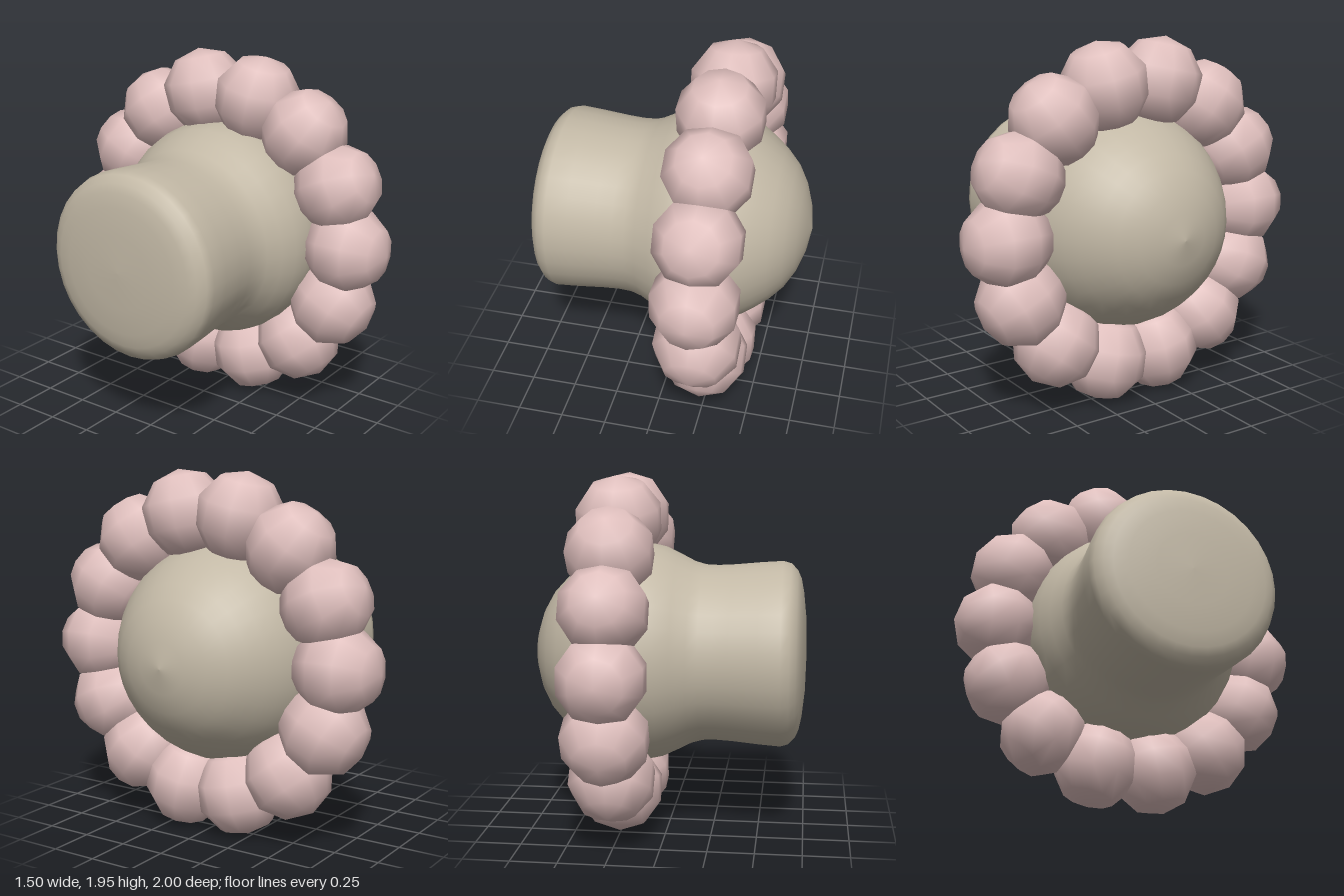
import * as THREE from 'three';

const CENTER_Y = 0.986;
const BEADS = 14;

export function createModel() {
  const model = new THREE.Group();
  model.name = 'beadedKnob';

  const stone = new THREE.MeshStandardMaterial({ color: 0xc2b8a5 });
  stone.name = 'warm beige';
  const pink = new THREE.MeshStandardMaterial({ color: 0xdfbfbd });
  pink.name = 'soft pink';

  // Turned body: [position along x, radius], from the stem end to the dome
  const profile = [
    [-0.75, 0], [-0.745, 0.2], [-0.73, 0.34], [-0.715, 0.415], [-0.695, 0.46],
    [-0.66, 0.497], [-0.615, 0.51], [-0.5, 0.502], [-0.35, 0.488], [-0.26, 0.483],
    [-0.19, 0.486], [-0.13, 0.503], [-0.05, 0.544], [0.03, 0.582], [0.12, 0.602],
    [0.22, 0.6], [0.33, 0.567], [0.42, 0.52], [0.485, 0.475], [0.56, 0.415],
    [0.63, 0.34], [0.685, 0.245], [0.723, 0.135], [0.745, 0],
  ].map(([x, r]) => new THREE.Vector2(r, x));
  const bodyGeometry = new THREE.LatheGeometry(profile, 32);
  bodyGeometry.rotateZ(-Math.PI / 2);
  const body = new THREE.Mesh(bodyGeometry, stone);
  body.name = 'knobBody';
  body.position.y = CENTER_Y;
  model.add(body);

  // Ring of low-poly beads, each with its pole pointing outward
  const ring = new THREE.Group();
  ring.name = 'beadRing';
  ring.position.set(0.257, CENTER_Y, 0);
  const beadGeometry = new THREE.SphereGeometry(0.24, 10, 5);
  // Turn the bead so that its flat sides face along x
  beadGeometry.rotateY(Math.PI / 10);
  for (let i = 0; i < BEADS; i++) {
    const angle = (i / BEADS) * Math.PI * 2;
    const bead = new THREE.Mesh(beadGeometry, pink);
    bead.name = `bead${i + 1}`;
    bead.position.set(0, Math.sin(angle) * 0.759, Math.cos(angle) * 0.759);
    bead.rotation.x = Math.PI / 2 - angle;
    ring.add(bead);
  }
  model.add(ring);

  return model;
}
